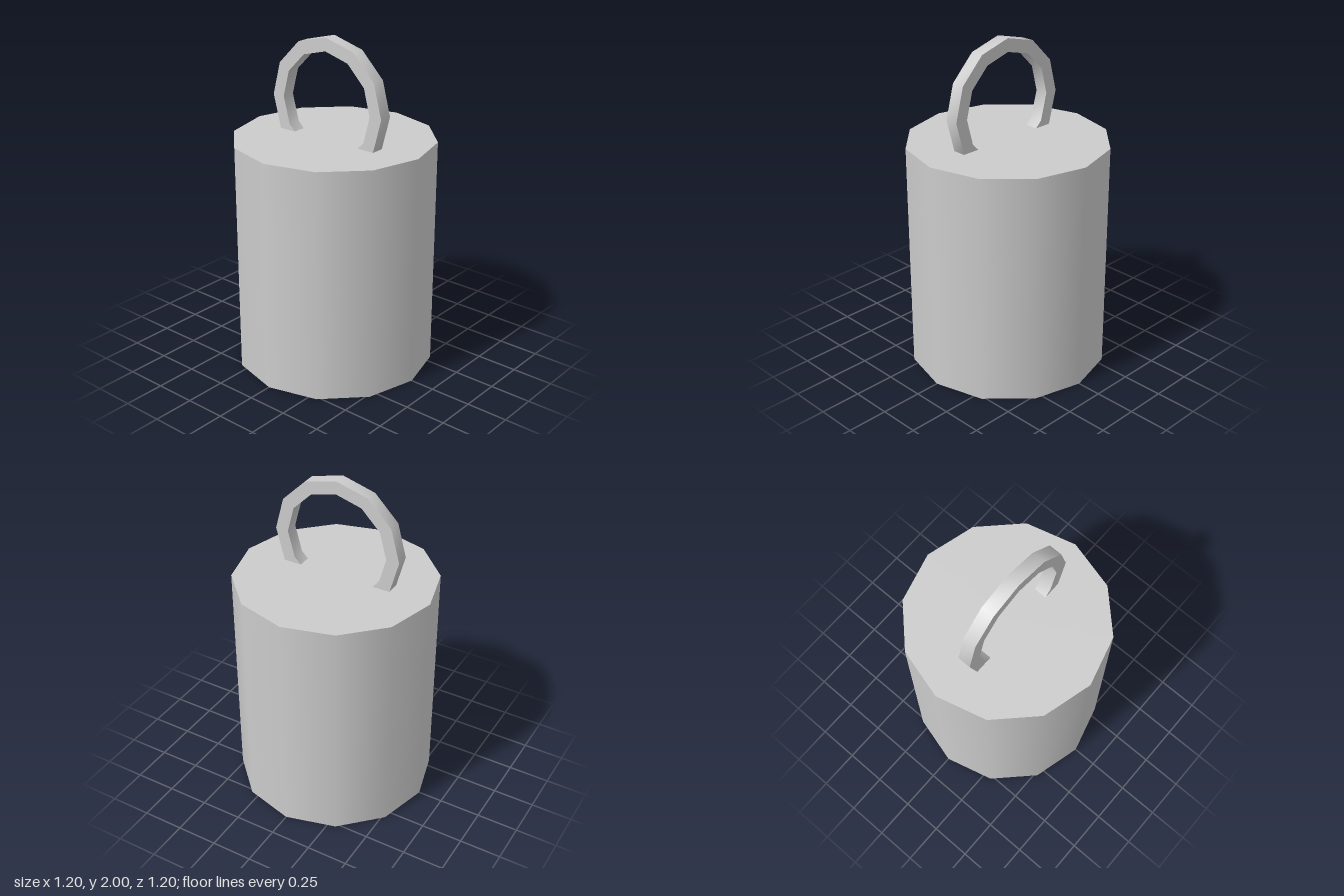
import * as THREE from 'three';
import { toCreasedNormals } from 'three/addons/utils/BufferGeometryUtils.js';

const SIDES = 12;

// Corner points of a regular polygon
function polygon(radius) {
  return Array.from({ length: SIDES }, (_, i) => {
    const a = (i / SIDES) * Math.PI * 2;
    return new THREE.Vector2(Math.cos(a) * radius, Math.sin(a) * radius);
  });
}

export function createModel() {
  const group = new THREE.Group();
  const material = new THREE.MeshStandardMaterial({ color: 0xcccccc });

  // Twelve-sided solid body with smooth-shaded wall
  const body = new THREE.Mesh(new THREE.CylinderGeometry(0.6, 0.6, 1.4, SIDES), material);
  body.name = 'body';
  body.position.y = 0.7;
  group.add(body);

  // Square-section ring, partly sunk into the top, its back face on z = 0
  const ring = new THREE.Shape(polygon(0.4));
  ring.holes.push(new THREE.Path(polygon(0.32)));
  const ringGeometry = new THREE.ExtrudeGeometry(ring, { depth: 0.08, bevelEnabled: false });
  const handle = new THREE.Mesh(toCreasedNormals(ringGeometry, 0.7), material);
  handle.name = 'ringHandle';
  handle.position.y = 1.6;
  group.add(handle);

  return group;
}
